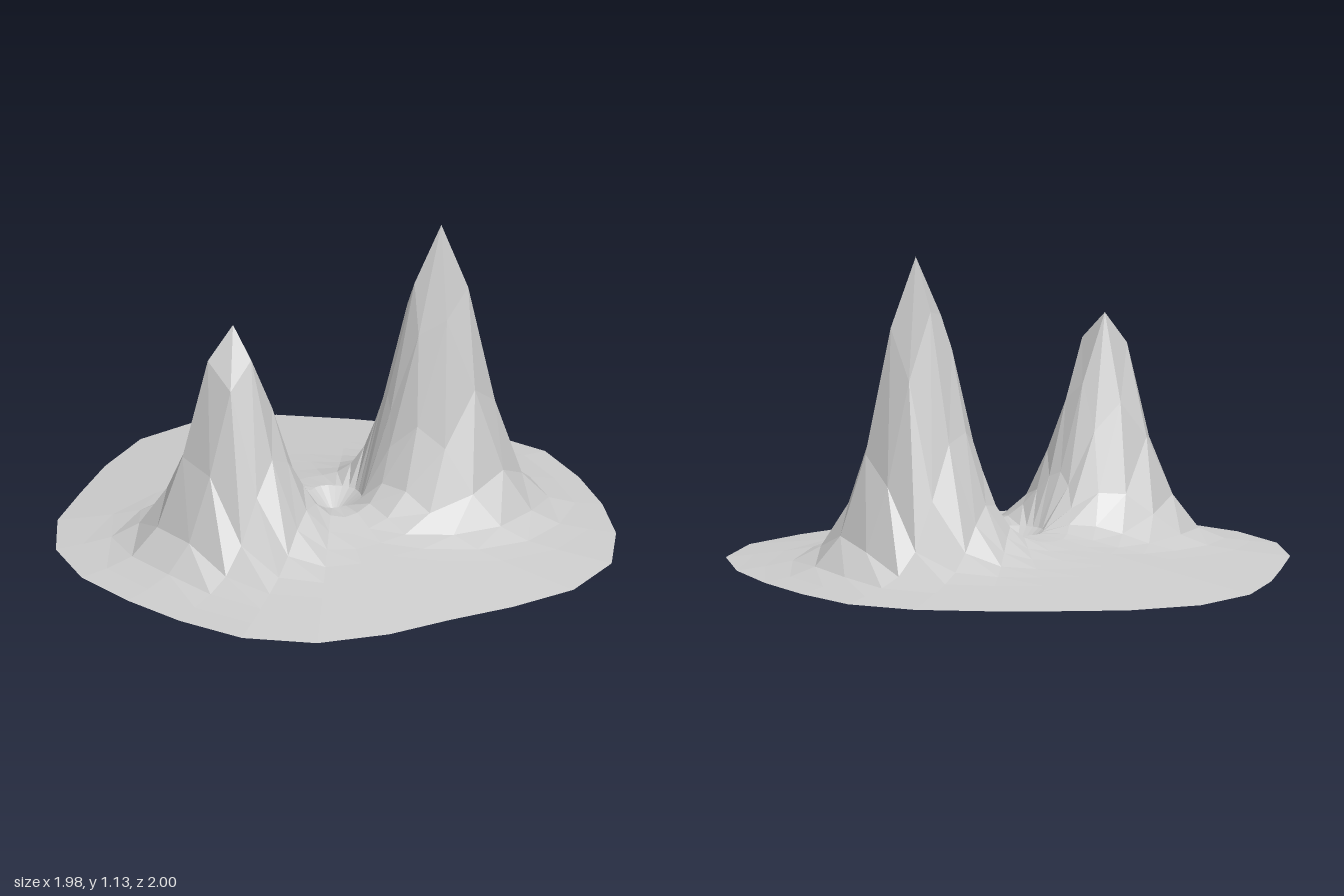
import * as THREE from 'three';

// Irregular island outline: one radius per 15 degree ray, counter-clockwise seen from above
const RADII = [1, 0.97, 0.97, 1, 0.98, 0.945, 0.95, 1.005, 1.05, 1.03, 0.97, 0.945,
  0.98, 1.005, 1, 0.98, 0.995, 1.035, 1.03, 0.97, 0.92, 0.95, 1.015, 1.035];
const RAYS = RADII.length;
const RINGS = 10;
const CENTRE = { x: -0.01, z: -0.03 };

// Mountain peaks: position, height above the slope and spread
const PEAKS = [
  { x: 0.36, z: -0.145, height: 1.06, spread: 0.137 },
  { x: -0.36, z: 0.21, height: 0.815, spread: 0.135 },
];
const CRATER_FLOOR = 0.04;

// Gentle cone, with the peaks added outside the crater rim
function heightAt(x, z, f, ring) {
  if (ring === 0) return CRATER_FLOOR;
  let y = 0.13 * (1 - f);
  if (ring === 1 || ring === RINGS) return y;
  for (const p of PEAKS) {
    const d2 = (x - p.x) ** 2 + (z - p.z) ** 2;
    y += p.height * Math.exp(-d2 / (2 * p.spread ** 2));
  }
  return y;
}

function gridPoint(ring, ray) {
  const k = ray % RAYS;
  const a = (k / RAYS) * Math.PI * 2;
  const f = ring / RINGS;
  const x = CENTRE.x + Math.cos(a) * RADII[k] * f;
  const z = CENTRE.z - Math.sin(a) * RADII[k] * f;
  return [x, heightAt(x, z, f, ring), z];
}

function meshFrom(name, positions, material) {
  const geometry = new THREE.BufferGeometry();
  geometry.setAttribute('position', new THREE.Float32BufferAttribute(positions, 3));
  geometry.computeVertexNormals();
  const mesh = new THREE.Mesh(geometry, material);
  mesh.name = name;
  return mesh;
}

export function createModel() {
  const group = new THREE.Group();
  group.name = 'twinPeakIsland';
  const material = new THREE.MeshStandardMaterial({ color: 0xcccccc, flatShading: true });

  const crater = [], terrain = [], underside = [];
  for (let k = 0; k < RAYS; k++) {
    // Crater bowl
    crater.push(...gridPoint(0, k), ...gridPoint(1, k), ...gridPoint(1, k + 1));
    // Slopes and peaks
    for (let r = 1; r < RINGS; r++) {
      const a = gridPoint(r, k), b = gridPoint(r + 1, k);
      const c = gridPoint(r + 1, k + 1), d = gridPoint(r, k + 1);
      terrain.push(...a, ...b, ...c, ...a, ...c, ...d);
    }
    // Flat base
    underside.push(CENTRE.x, 0, CENTRE.z, ...gridPoint(RINGS, k + 1), ...gridPoint(RINGS, k));
  }

  group.add(
    meshFrom('crater', crater, material),
    meshFrom('mountainTerrain', terrain, material),
    meshFrom('underside', underside, material),
  );
  return group;
}
